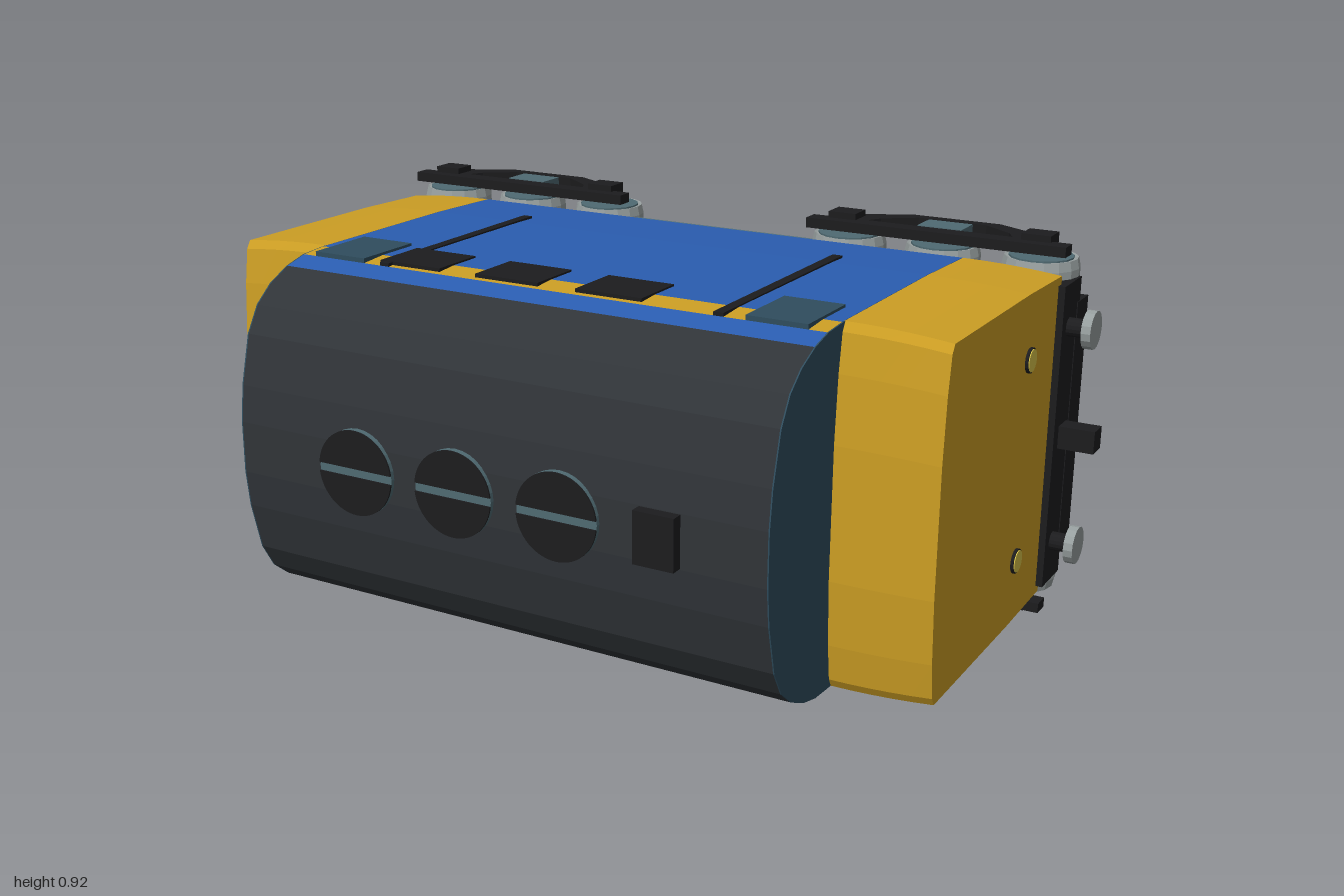
import * as THREE from 'three';

const mat = (color) => new THREE.MeshStandardMaterial({ color, flatShading: true, side: THREE.DoubleSide });
const BLUE = mat(0x2a5db0), YELLOW = mat(0xcc9e24), BLACK = mat(0x1c1c1e), ROOF = mat(0x303438),
  SLATE = mat(0x2f4d5e), STEEL = mat(0x4f6a72), GREY = mat(0x979f9f), LAMP = mat(0xd8c34a), RED = mat(0xb02a1c);

// Local frame: x along the vehicle, y towards the roof, z across it.
export function createModel() {
  const root = new THREE.Group();
  const loco = new THREE.Group();
  loco.name = 'locomotive';
  loco.rotation.x = Math.PI / 2; // lies on its side, roof to the front
  loco.position.y = 0.4625;
  root.add(loco);

  const add = (name, geo, material, x = 0, y = 0, z = 0) => {
    const m = new THREE.Mesh(geo, material);
    m.name = name;
    m.position.set(x, y, z);
    loco.add(m);
    return m;
  };
  // box given by its limits
  const box = (name, material, x0, x1, y0, y1, z0, z1) =>
    add(name, new THREE.BoxGeometry(x1 - x0, y1 - y0, z1 - z0), material, (x0 + x1) / 2, (y0 + y1) / 2, (z0 + z1) / 2);
  // symmetric cross-section from [half width, height] points, run along x
  const prism = (half, x0, x1, steps = 1) => {
    const pts = [...half, ...half.slice().reverse().map(([w, h]) => [-w, h])];
    const shape = new THREE.Shape(pts.map(([w, h]) => new THREE.Vector2(w, h)));
    return new THREE.ExtrudeGeometry(shape, { depth: x1 - x0, steps, bevelEnabled: false })
      .rotateY(Math.PI / 2).translate(x0, 0, 0);
  };

  // middle body in horizontal colour bands
  const L = 0.663;
  add('bodySides', prism([[0.398, -0.42], [0.404, -0.2], [0.405, 0.26]], -L, L), BLUE);
  add('yellowBand', prism([[0.405, 0.26], [0.4, 0.33]], -L, L), YELLOW);
  add('upperBand', prism([[0.4, 0.33], [0.385, 0.39]], -L, L), BLUE);
  const arc = [[0.385, 0.39], [0.357, 0.45], [0.318, 0.498], [0.258, 0.534], [0.145, 0.563], [0.06, 0.573]];
  add('roof', prism(arc, -L, L), ROOF);
  const endProfile = [[0.405, 0.25], [0.4, 0.33], ...arc];
  for (const s of [-1, 1]) add('roofEnd', prism(endProfile, s * 0.6645 - 0.0015, s * 0.6645 + 0.0015), SLATE);

  // nose cabs, narrowing slightly towards the end
  for (const s of [-1, 1]) {
    const geo = prism([[0.398, -0.42], [0.404, -0.2], [0.405, 0.25], [0.385, 0.262], [0.3, 0.274], [0.15, 0.283]], 0, 0.235, 5);
    const p = geo.attributes.position;
    for (let i = 0; i < p.count; i++) {
      const t = p.getX(i) / 0.235;
      p.setZ(i, p.getZ(i) * (1 - 0.035 * t * t));
    }
    if (s < 0) geo.rotateY(Math.PI);
    geo.computeVertexNormals();
    add('cab', geo, YELLOW, s * 0.664);
  }

  // side windows, grilles and rails
  for (const s of [-1, 1]) {
    const plate = (name, material, x0, x1, y0, y1, t) =>
      box(name, material, x0, x1, y0, y1, s * 0.4 - (s < 0 ? t : 0), s * 0.4 + (s > 0 ? t : 0));
    for (const x of [-0.558, 0.552]) plate('sideWindow', SLATE, x - 0.07, x + 0.07, 0.15, 0.33, 0.011);
    for (const x of [-0.37, -0.11, 0.15]) plate('grille', BLACK, x - 0.082, x + 0.082, 0.175, 0.315, 0.009);
    for (const x of [-0.43, 0.42]) plate('doorRail', BLACK, x - 0.012, x + 0.012, -0.26, 0.33, 0.008);
  }

  // roof fans: a steel disc with two dark half covers
  for (const x of [-0.335, -0.075, 0.185]) {
    add('fan', new THREE.CylinderGeometry(0.098, 0.098, 0.06, 32), STEEL, x, 0.553, 0);
    for (const s of [-1, 1]) {
      const a = Math.asin(0.1);
      const half = new THREE.Shape();
      half.absarc(0, 0, 0.098, a, Math.PI - a);
      const geo = new THREE.ExtrudeGeometry(half, { depth: 0.004, bevelEnabled: false, curveSegments: 16 }).rotateX(-Math.PI / 2);
      if (s < 0) geo.rotateY(Math.PI);
      add('fanCover', geo, BLACK, x, 0.583, 0);
    }
  }
  box('exhaust', BLACK, 0.375, 0.47, 0.54, 0.6, -0.058, 0.058);

  // underframe between the bogies
  for (const s of [-1, 1]) {
    const rail = new THREE.Shape([[-0.035, -0.475], [0.035, -0.475], [0.05, -0.5], [0.035, -0.535], [0.015, -0.553], [-0.035, -0.553]]
      .map(([w, h]) => new THREE.Vector2(w, h)));
    const geo = new THREE.ExtrudeGeometry(rail, { depth: 0.52, bevelEnabled: false }).rotateY(Math.PI / 2).translate(-0.26, 0, 0);
    if (s > 0) geo.rotateY(Math.PI);
    add('tankRail', geo, STEEL, 0, 0, s * 0.33);
    box('railMount', BLACK, -0.225, 0.225, -0.478, -0.42, s * 0.34 - 0.04, s * 0.34 + 0.04);
    box('crossBeam', BLACK, s * 0.21 - 0.03, s * 0.21 + 0.03, -0.5, -0.42, -0.32, 0.32);
  }

  // wheel: closed outer disc with a hollow rim facing inwards
  const wheelGeo = new THREE.LatheGeometry([[0, 0.02], [0.08, 0.02], [0.085, 0.022], [0.09, 0.0], [0.09, -0.025], [0.075, -0.025], [0.075, 0.01], [0, 0.01]]
    .map(([r, h]) => new THREE.Vector2(r, h)), 16).rotateX(Math.PI / 2);
  const hubGeo = new THREE.CylinderGeometry(0.075, 0.075, 0.006, 16).rotateX(Math.PI / 2);

  // bogie side frame with openings either side of the spring
  const frame = new THREE.Shape([[-0.32, -0.43], [0.32, -0.43], [0.32, -0.475], [0.275, -0.475], [0.275, -0.51], [0.2, -0.545],
    [0.11, -0.593], [-0.11, -0.593], [-0.2, -0.545], [-0.275, -0.51], [-0.275, -0.475], [-0.32, -0.475]]
    .map(([x, y]) => new THREE.Vector2(x, y)));
  frame.holes.push(new THREE.Path([[-0.18, -0.477], [-0.16, -0.51], [-0.085, -0.565], [0.085, -0.565], [0.16, -0.51], [0.18, -0.477]]
    .map(([x, y]) => new THREE.Vector2(x, y))));
  const frameGeo = new THREE.ExtrudeGeometry(frame, { depth: 0.024, bevelEnabled: false }).translate(0, 0, -0.012);

  for (const e of [-1, 1]) {
    const cx = e * 0.58;
    for (const s of [-1, 1]) {
      for (const d of [-0.24, 0, 0.24]) {
        const wheel = add('wheel', wheelGeo, GREY, cx + d, -0.51, s * 0.383);
        if (s < 0) wheel.rotation.y = Math.PI;
        add('wheelFace', hubGeo, STEEL, cx + d, -0.51, s * 0.404);
      }
      add('bogieFrame', frameGeo, BLACK, cx, 0, s * 0.435);
      box('spring', STEEL, cx - 0.055, cx + 0.055, -0.555, -0.48, s * 0.43 - 0.018, s * 0.43 + 0.018);
      for (const d of [-0.24, 0.24])
        box('axleBox', BLACK, cx + d - 0.035, cx + d + 0.035, -0.52, -0.46, s * 0.44 - 0.022, s * 0.44 + 0.022);
    }
    // gearcases across the bogie
    for (const x of [0.58, 0.8])
      box('gearcase', BLACK, e * x - 0.05, e * x + 0.05, -0.56, -0.42, -0.345, 0.345);

    // end beam, buffers, coupler and lamps
    const xc = e * 0.895;
    box('bufferBeam', BLACK, xc - 0.02, xc + 0.02, -0.52, -0.4, -0.365, 0.365);
    box('lowerBeam', BLACK, xc - 0.022, xc + 0.022, -0.578, -0.5, -0.308, 0.308);
    box('coupler', BLACK, e * 0.95 - 0.05, e * 0.95 + 0.05, -0.485, -0.432, -0.027, 0.027);
    for (const s of [-1, 1]) {
      const disc = (name, r, len, material, x, y, z) =>
        add(name, new THREE.CylinderGeometry(r, r, len, 16).rotateZ(Math.PI / 2), material, e * x, y, z);
      disc('bufferStem', 0.022, 0.07, BLACK, 0.935, -0.448, s * 0.262);
      disc('bufferHead', 0.045, 0.022, GREY, 0.967, -0.448, s * 0.262);
      disc('lampRim', 0.029, 0.012, BLACK, 0.9, -0.225, s * 0.237);
      disc('lamp', 0.026, 0.014, e > 0 ? LAMP : RED, 0.901, -0.225, s * 0.237);
    }
  }
  return root;
}
